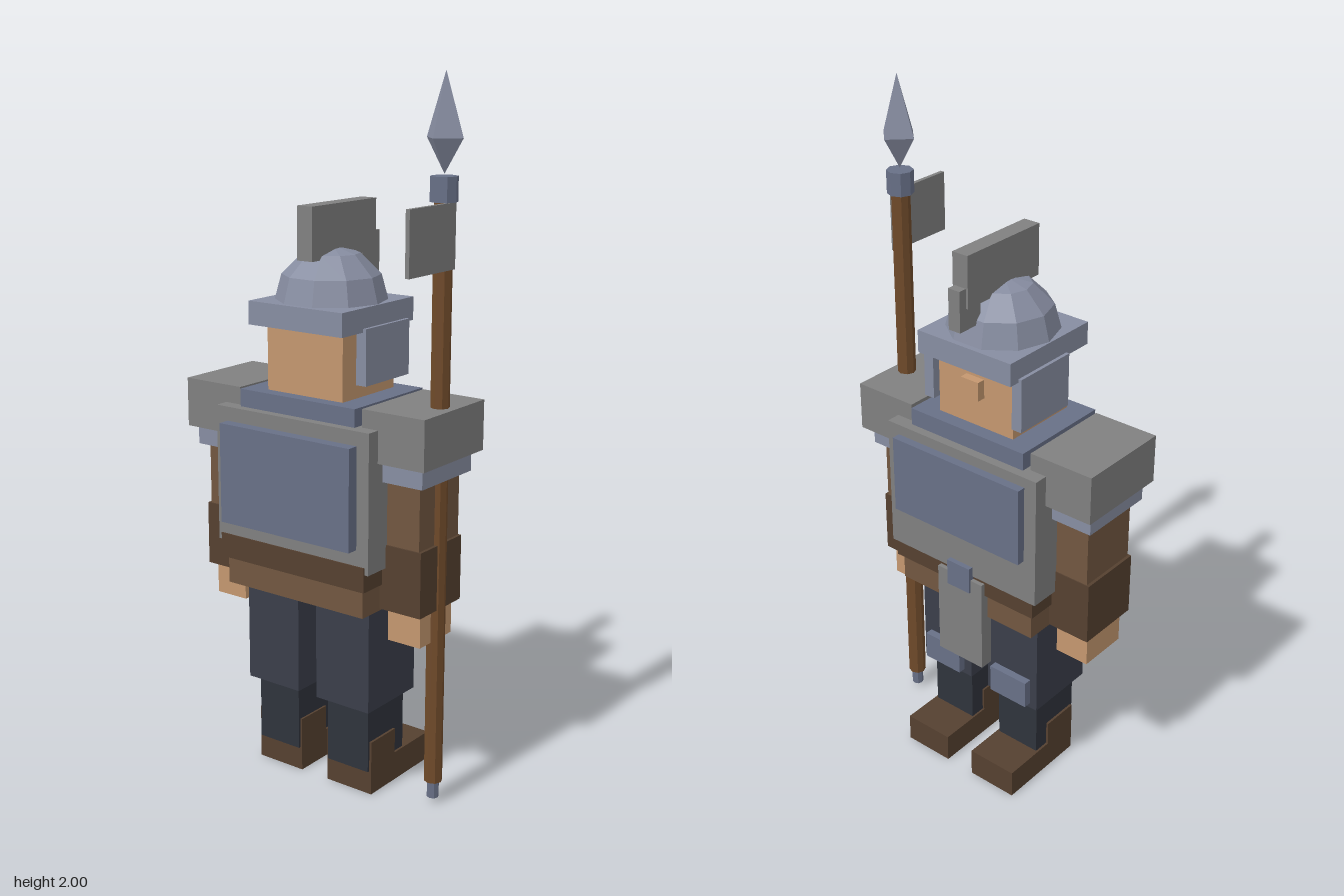
import * as THREE from 'three';

const COLORS = {
  steel: 0x878da1, darkSteel: 0x687087, plate: 0x808080, skin: 0xc4976f,
  leather: 0x715740, darkLeather: 0x554030, cloth: 0x3a3e4a, darkCloth: 0x2f333c,
  wood: 0x6f4a2a,
};
const mats = {};
for (const [key, color] of Object.entries(COLORS)) {
  mats[key] = new THREE.MeshStandardMaterial({ color, flatShading: true });
}

function add(parent, name, geometry, mat, x = 0, y = 0, z = 0) {
  const mesh = new THREE.Mesh(geometry, mats[mat]);
  mesh.name = name;
  mesh.position.set(x, y, z);
  parent.add(mesh);
  return mesh;
}

// Box given by its extents on each axis
function box(parent, name, mat, [x0, x1], [y0, y1], [z0, z1]) {
  return add(parent, name, new THREE.BoxGeometry(x1 - x0, y1 - y0, z1 - z0), mat,
    (x0 + x1) / 2, (y0 + y1) / 2, (z0 + z1) / 2);
}

// Two boxes mirrored across the middle of the body
function pair(parent, name, mat, [x0, x1], ys, zs) {
  box(parent, 'left' + name, mat, [x0, x1], ys, zs);
  box(parent, 'right' + name, mat, [-x1, -x0], ys, zs);
}

function buildLegs() {
  const g = new THREE.Group();
  g.name = 'legs';
  pair(g, 'Boot', 'darkLeather', [0.047, 0.202], [0, 0.085], [-0.205, 0.08]);
  pair(g, 'BootShaft', 'darkLeather', [0.047, 0.202], [0.08, 0.16], [-0.035, 0.08]);
  pair(g, 'Shin', 'darkCloth', [0.053, 0.195], [0.07, 0.27], [-0.083, 0.087]);
  pair(g, 'Thigh', 'cloth', [0.032, 0.214], [0.265, 0.6], [-0.109, 0.113]);
  pair(g, 'KneePad', 'darkSteel', [0.06, 0.19], [0.28, 0.365], [-0.132, -0.09]);
  return g;
}

function buildTorso() {
  const g = new THREE.Group();
  g.name = 'torso';
  box(g, 'skirt', 'leather', [-0.236, 0.236], [0.57, 0.66], [-0.166, 0.172]);
  box(g, 'belt', 'darkLeather', [-0.249, 0.249], [0.65, 0.72], [-0.179, 0.187]);
  box(g, 'chestArmor', 'plate', [-0.261, 0.261], [0.7, 1.09], [-0.183, 0.183]);
  box(g, 'chestPlate', 'darkSteel', [-0.222, 0.222], [0.83, 1.06], [-0.208, -0.17]);
  box(g, 'backPlate', 'darkSteel', [-0.222, 0.222], [0.765, 1.05], [0.17, 0.217]);
  box(g, 'collar', 'darkSteel', [-0.196, 0.196], [1.08, 1.14], [-0.157, 0.157]);
  box(g, 'frontFlap', 'plate', [-0.08, 0.08], [0.405, 0.69], [-0.192, -0.152]);
  box(g, 'buckle', 'darkSteel', [-0.04, 0.04], [0.65, 0.73], [-0.198, -0.17]);
  return g;
}

function buildArms() {
  const g = new THREE.Group();
  g.name = 'arms';
  pair(g, 'ShoulderPlate', 'plate', [0.209, 0.406], [1.0, 1.14], [-0.142, 0.143]);
  pair(g, 'ShoulderTrim', 'steel', [0.229, 0.387], [0.945, 1.0], [-0.113, 0.121]);
  pair(g, 'UpperArm', 'leather', [0.247, 0.365], [0.76, 0.96], [-0.09, 0.098]);
  pair(g, 'Bracer', 'darkLeather', [0.242, 0.374], [0.58, 0.765], [-0.093, 0.103]);
  pair(g, 'Hand', 'skin', [0.255, 0.36], [0.485, 0.59], [-0.072, 0.08]);
  return g;
}

function buildHead() {
  const g = new THREE.Group();
  g.name = 'head';
  box(g, 'face', 'skin', [-0.128, 0.128], [1.13, 1.36], [-0.115, 0.119]);
  box(g, 'nose', 'skin', [-0.03, 0.03], [1.23, 1.285], [-0.14, -0.1]);
  box(g, 'helmetBrim', 'steel', [-0.158, 0.158], [1.325, 1.39], [-0.163, 0.163]);
  pair(g, 'CheekGuard', 'steel', [0.136, 0.168], [1.18, 1.335], [-0.13, 0.07]);
  const dome = new THREE.SphereGeometry(0.157, 10, 3, 0, Math.PI * 2, 0, Math.PI / 2);
  add(g, 'helmetDome', dome, 'steel', 0, 1.38, 0);
  box(g, 'crest', 'plate', [-0.025, 0.025], [1.505, 1.65], [-0.17, 0.117]);
  box(g, 'crestTip', 'plate', [-0.019, 0.019], [1.445, 1.56], [-0.195, -0.115]);
  return g;
}

function buildSpear() {
  const g = new THREE.Group();
  g.name = 'spear';
  g.position.set(0.355, 0, -0.002);
  const rod = (name, mat, r, y0, y1) =>
    add(g, name, new THREE.CylinderGeometry(r, r, y1 - y0, 8), mat, 0, (y0 + y1) / 2, 0);
  rod('spearButt', 'darkSteel', 0.017, 0.015, 0.07);
  rod('spearShaft', 'wood', 0.026, 0.065, 1.7);
  rod('spearCollar', 'darkSteel', 0.037, 1.675, 1.74);
  // Spearhead: two four-sided points joined at their widest
  add(g, 'spearTip', new THREE.ConeGeometry(0.055, 0.165, 4, 1, true), 'steel', 0, 1.9175, 0);
  const base = add(g, 'spearTipBase', new THREE.ConeGeometry(0.055, 0.09, 4, 1, true), 'steel', 0, 1.79, 0);
  base.rotation.x = Math.PI;
  box(g, 'pennant', 'plate', [0.019, 0.031], [1.505, 1.675], [-0.01, 0.197]);
  return g;
}

export function createModel() {
  const model = new THREE.Group();
  model.name = 'spearGuard';
  const body = new THREE.Group();
  body.name = 'body';
  body.position.set(-0.005, 0, -0.005);
  body.add(buildLegs(), buildTorso(), buildArms(), buildHead());
  model.add(body, buildSpear());
  return model;
}
